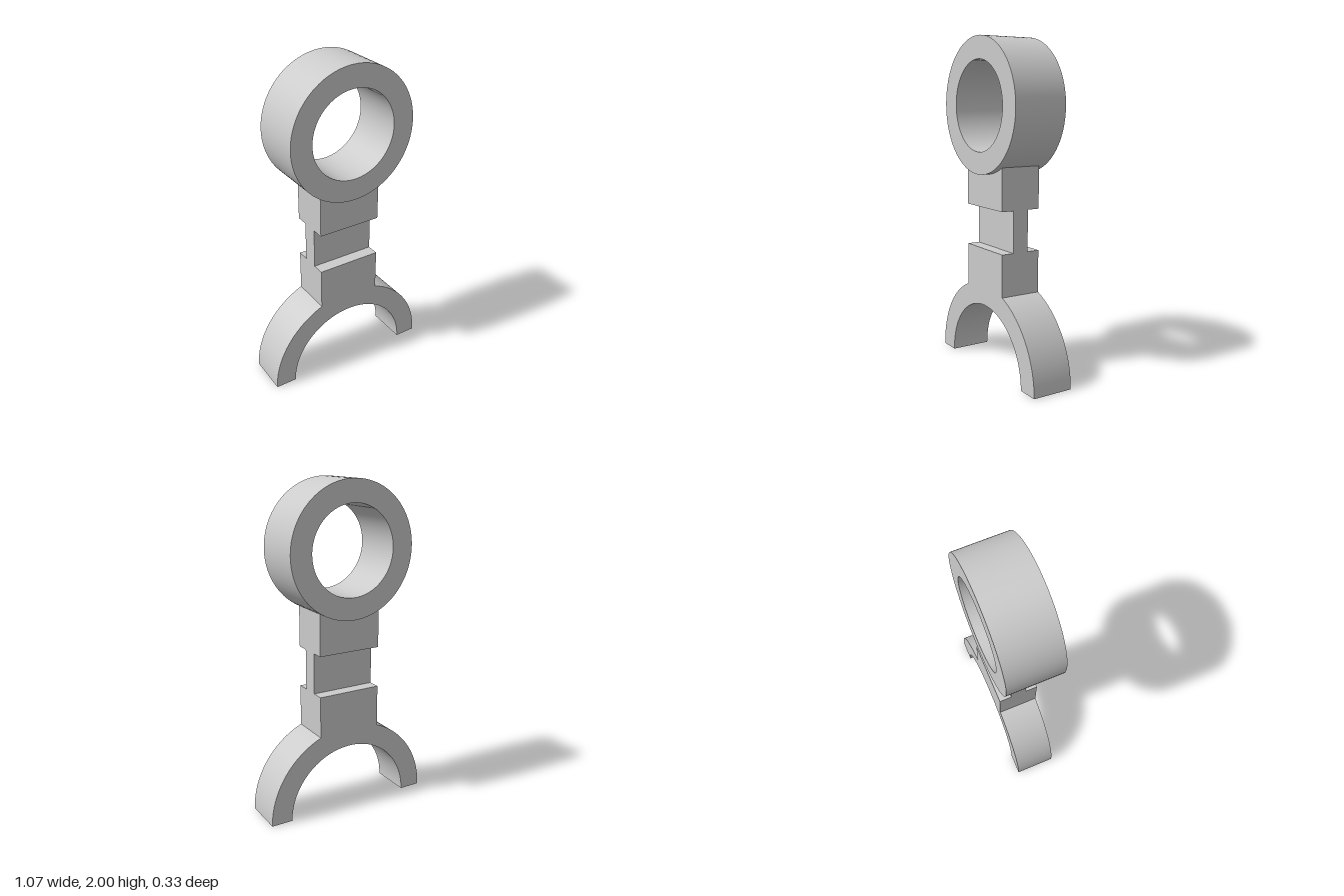
import * as THREE from 'three';
import { toCreasedNormals } from 'three/addons/utils/BufferGeometryUtils.js';

const RING_Y = 1.6, RING_R = 0.4, RING_BORE = 0.267, RING_DEPTH = 0.333;
const ARCH_R = 0.533, ARCH_BORE = 0.4, BODY_DEPTH = 0.253;
const HALF_W = 0.2, WEB_BOTTOM = 0.75, WEB_TOP = 1.0, WEB_DEPTH = 0.1;

export function createModel() {
  const group = new THREE.Group();
  const material = new THREE.MeshStandardMaterial({ color: 0xcccccc });

  const add = (name, geometry) => {
    const mesh = new THREE.Mesh(geometry, material);
    mesh.name = name;
    group.add(mesh);
    return mesh;
  };
  // Extrude a front profile, centred on z = 0
  const plate = (shape, depth) => {
    const g = new THREE.ExtrudeGeometry(shape, { depth, bevelEnabled: false, curveSegments: 48 });
    g.translate(0, 0, -depth / 2);
    return toCreasedNormals(g, Math.PI / 6);
  };

  // Closed ring at the top
  const ring = new THREE.Shape().absarc(0, 0, RING_R, 0, Math.PI * 2, false);
  ring.holes.push(new THREE.Path().absarc(0, 0, RING_BORE, 0, Math.PI * 2, true));
  add('ring', plate(ring, RING_DEPTH)).position.y = RING_Y;

  // Neck block, its top edge sunk into the ring wall
  const neckTop = RING_Y - Math.sqrt(RING_R ** 2 - HALF_W ** 2);
  const neck = add('neckBlock', new THREE.BoxGeometry(HALF_W * 2, neckTop - WEB_TOP, BODY_DEPTH));
  neck.position.y = (neckTop + WEB_TOP) / 2;

  // Thin web between the two blocks
  const web = add('web', new THREE.BoxGeometry(HALF_W * 2, WEB_TOP - WEB_BOTTOM, WEB_DEPTH));
  web.position.y = (WEB_TOP + WEB_BOTTOM) / 2;

  // Half-round saddle with the lower block in one profile
  const a = Math.acos(HALF_W / ARCH_R);
  const saddle = new THREE.Shape();
  saddle.moveTo(ARCH_R, 0);
  saddle.absarc(0, 0, ARCH_R, 0, a, false);
  saddle.lineTo(HALF_W, WEB_BOTTOM);
  saddle.lineTo(-HALF_W, WEB_BOTTOM);
  saddle.absarc(0, 0, ARCH_R, Math.PI - a, Math.PI, false);
  saddle.lineTo(-ARCH_BORE, 0);
  saddle.absarc(0, 0, ARCH_BORE, Math.PI, 0, true);
  saddle.closePath();
  add('saddle', plate(saddle, BODY_DEPTH));

  return group;
}
